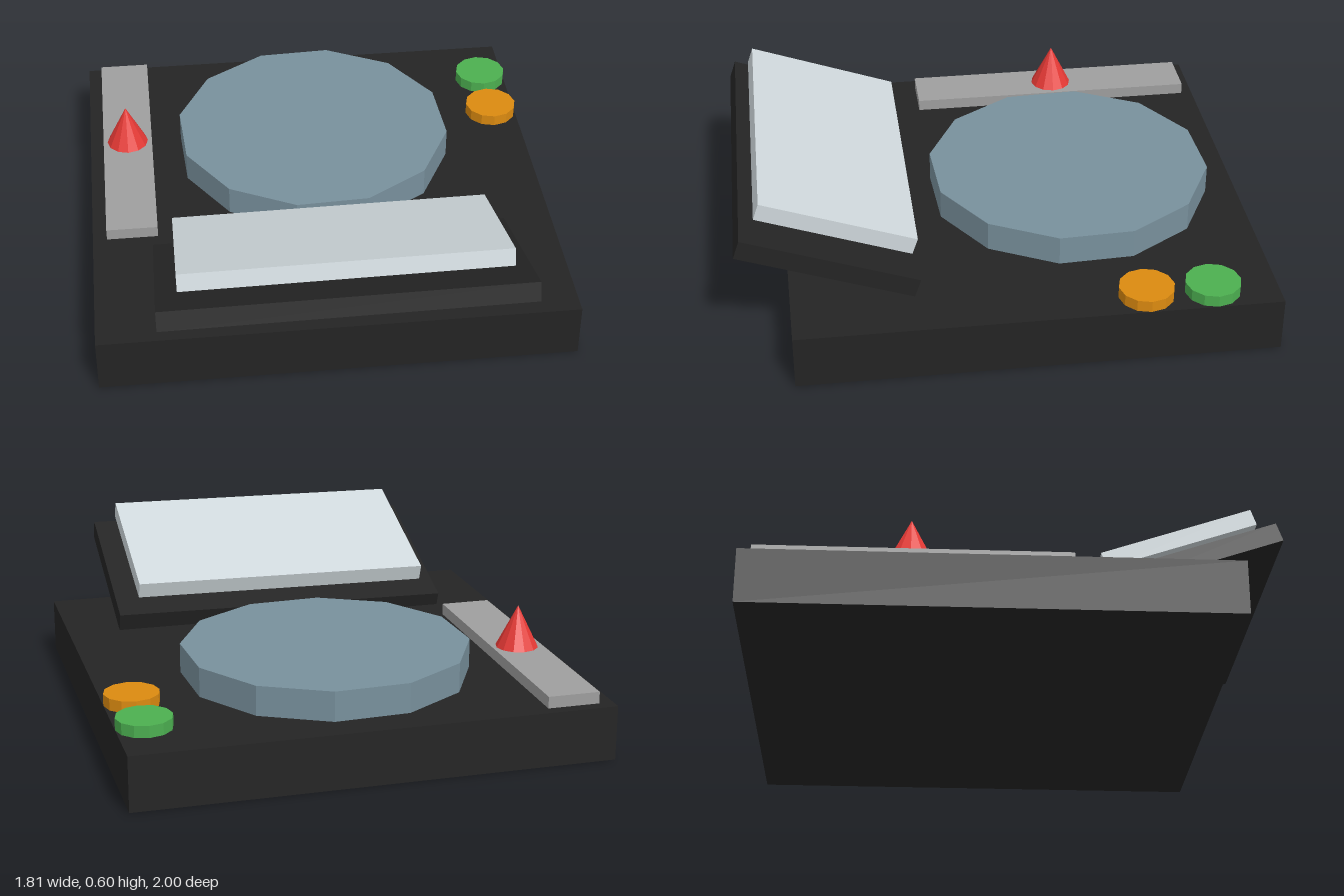
import * as THREE from 'three';

const mat = (name, color) => {
  const m = new THREE.MeshStandardMaterial({ color });
  m.name = name;
  return m;
};

export function createModel() {
  const black = mat('black', 0x242424);
  const slate = mat('slate', 0x78909c);
  const pale = mat('paleGrey', 0xcfd8dc);
  const grey = mat('grey', 0x9e9e9e);
  const red = mat('red', 0xe53935);
  const orange = mat('orange', 0xdb8a10);
  const green = mat('green', 0x4caf50);

  const model = new THREE.Group();
  model.name = 'turntableConsole';

  const add = (name, geometry, material, x, y, z) => {
    // Non-indexed normals keep every facet flat
    const geo = geometry.toNonIndexed();
    geo.computeVertexNormals();
    const mesh = new THREE.Mesh(geo, material);
    mesh.name = name;
    mesh.position.set(x, y, z);
    model.add(mesh);
    return mesh;
  };
  const box = (w, h, d) => new THREE.BoxGeometry(w, h, d);
  const disc = (r, h) => new THREE.CylinderGeometry(r, r, h, 12);

  const deck = 0.21; // top of the base

  // Base slab
  add('base', box(1.81, deck, 1.81), black, 0, deck / 2, -0.095);

  // Large twelve-sided platter, turned slightly
  const platter = add('platter', disc(0.557, 0.115), slate, 0.016, deck + 0.0575, -0.334);
  platter.rotation.y = THREE.MathUtils.degToRad(-12.4);

  // Slider track and its cone knob
  add('sliderTrack', box(0.2, 0.045, 1.155), grey, -0.75, deck + 0.0225, -0.378);
  add('sliderKnob', new THREE.ConeGeometry(0.084, 0.167, 12), red, -0.75, 0.3375, -0.388);

  // Two round buttons
  [['orangeButton', orange, -0.5], ['greenButton', green, -0.75]].forEach(([name, m, z]) =>
    add(name, disc(0.105, 0.045), m, 0.8, deck + 0.0225, z));

  // Tilted screen: dark backing panel with a pale plate floating above it
  const backing = add('screenBacking', box(1.37, 0.075, 0.69), black, 0.01, 0.349, 0.66);
  const plate = add('screenPlate', box(1.207, 0.066, 0.606), pale, 0.008, 0.466, 0.621);
  [backing, plate].forEach((p) => p.rotation.set(-0.332, -0.008, 0.01));

  return model;
}
